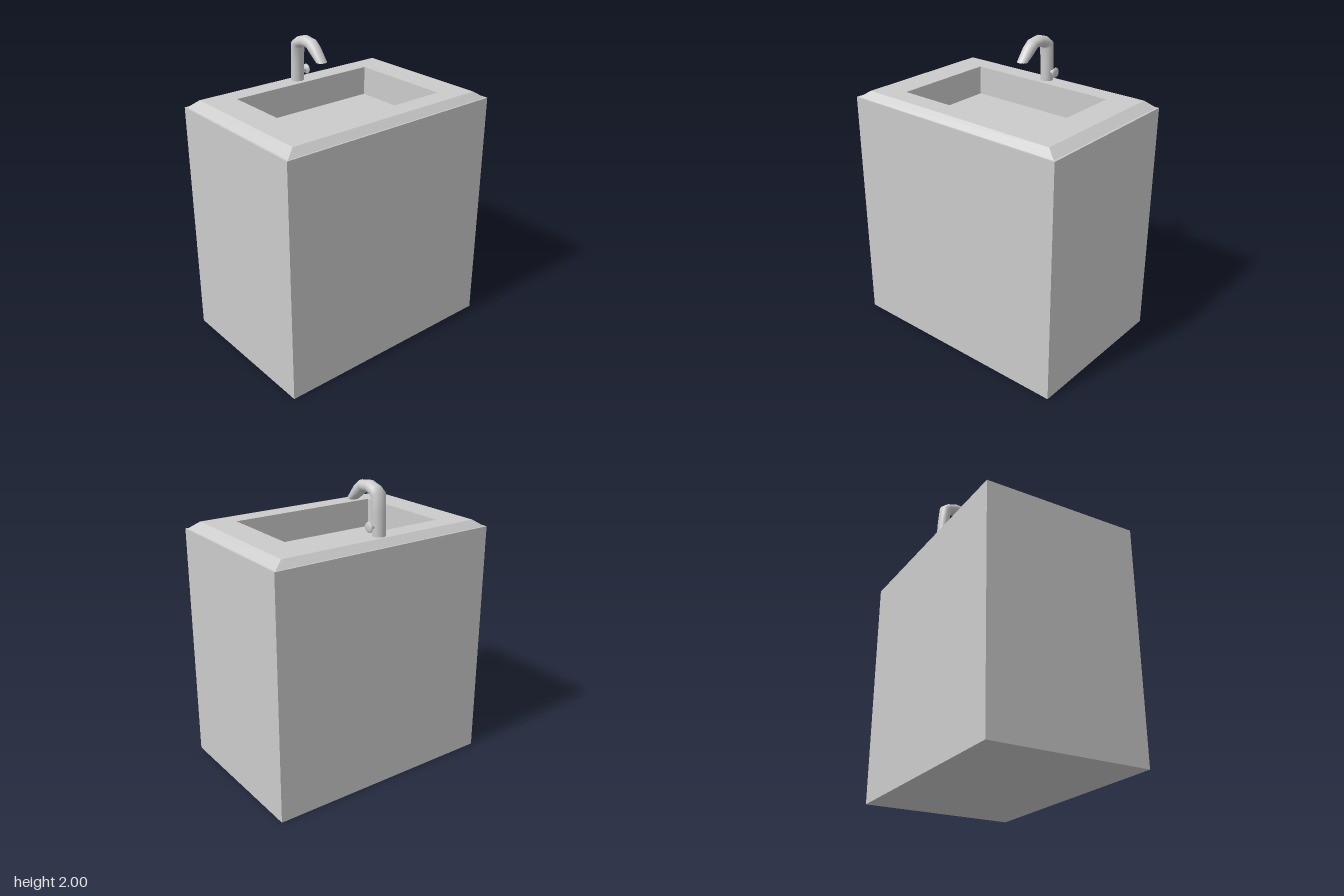
import * as THREE from 'three';

const material = new THREE.MeshStandardMaterial({ color: 0xcccccc });

// Skin a list of closed rings; flat gives hard facets, otherwise smooth normals
function loft(name, rings, flat) {
  const n = rings[0].length;
  const index = [];
  for (let i = 0; i < rings.length - 1; i++) {
    for (let k = 0; k < n; k++) {
      const a = i * n + k, b = i * n + (k + 1) % n;
      index.push(a, b, b + n, a, b + n, a + n);
    }
  }
  let geometry = new THREE.BufferGeometry().setFromPoints(rings.flat());
  geometry.setIndex(index);
  if (flat) geometry = geometry.toNonIndexed();
  geometry.computeVertexNormals();
  const mesh = new THREE.Mesh(geometry, material);
  mesh.name = name;
  return mesh;
}

// Rectangular ring with half sizes x and z at height y
const rect = ([x, y, z]) =>
  [[1, 1], [1, -1], [-1, -1], [-1, 1]].map(([sx, sz]) => new THREE.Vector3(sx * x, y, sz * z));

// Elliptical spout ring between an outer and an inner point of its side outline
function spoutRing([ox, oy, ix, iy, rz], sides = 24) {
  return Array.from({ length: sides }, (_, k) => {
    const t = (k / sides) * Math.PI * 2;
    const c = Math.cos(t) / 2;
    return new THREE.Vector3(
      (ox + ix) / 2 + c * (ox - ix), (oy + iy) / 2 + c * (oy - iy), rz * Math.sin(t));
  });
}

export function createModel() {
  const model = new THREE.Group();
  model.name = 'sinkCabinet';

  // Cabinet: closed underneath, narrow ledge around the top
  model.add(loft('cabinet', [
    [0, 0, 0], [0.548, 0, 0.81], [0.548, 1.63, 0.81], [0.538, 1.63, 0.797],
  ].map(rect), true));

  // Bevelled countertop with a rectangular opening
  model.add(loft('countertop', [
    [0.538, 1.63, 0.797], [0.493, 1.675, 0.73], [0.36, 1.675, 0.536],
  ].map(rect), true));

  // Basin walls and floor
  model.add(loft('basin', [
    [0.36, 1.675, 0.536], [0.36, 1.475, 0.536], [0, 1.475, 0],
  ].map(rect), true));

  // Faucet spout: outer x, y, inner x, y, half width in z
  const faucet = new THREE.Group();
  faucet.name = 'faucet';
  const sections = [
    [-0.48, 1.675, -0.394, 1.675, 0.043],
    [-0.472, 1.82, -0.394, 1.82, 0.046],
    [-0.459, 1.945, -0.392, 1.9, 0.051],
    [-0.417, 1.978, -0.382, 1.912, 0.047],
    [-0.347, 2.0, -0.345, 1.922, 0.043],
    [-0.257, 1.988, -0.303, 1.925, 0.043],
    [-0.204, 1.947, -0.268, 1.895, 0.041],
    [-0.137, 1.857, -0.207, 1.855, 0.037],
  ];
  const rings = sections.map((s) => spoutRing(s));
  faucet.add(loft('spout', rings, false));

  // Flat end of the spout
  const tip = rings[rings.length - 1];
  const centre = new THREE.Vector3(-0.172, 1.856, 0);
  faucet.add(loft('spoutEnd', [tip, tip.map(() => centre)], true));

  // Round tap knob on a thin stem, at the back of the column
  const profile = [
    [0.015, 0], [0.013, 0.03], [0.018, 0.036], [0.032, 0.041],
    [0.035, 0.046], [0.031, 0.052], [0.016, 0.055], [0, 0.056],
  ].map(([r, y]) => new THREE.Vector2(r, y));
  const knob = new THREE.Mesh(new THREE.LatheGeometry(profile, 20), material);
  knob.name = 'knob';
  knob.rotation.x = -Math.PI / 2;
  knob.position.set(-0.432, 1.737, -0.027);
  faucet.add(knob);

  model.add(faucet);
  return model;
}
